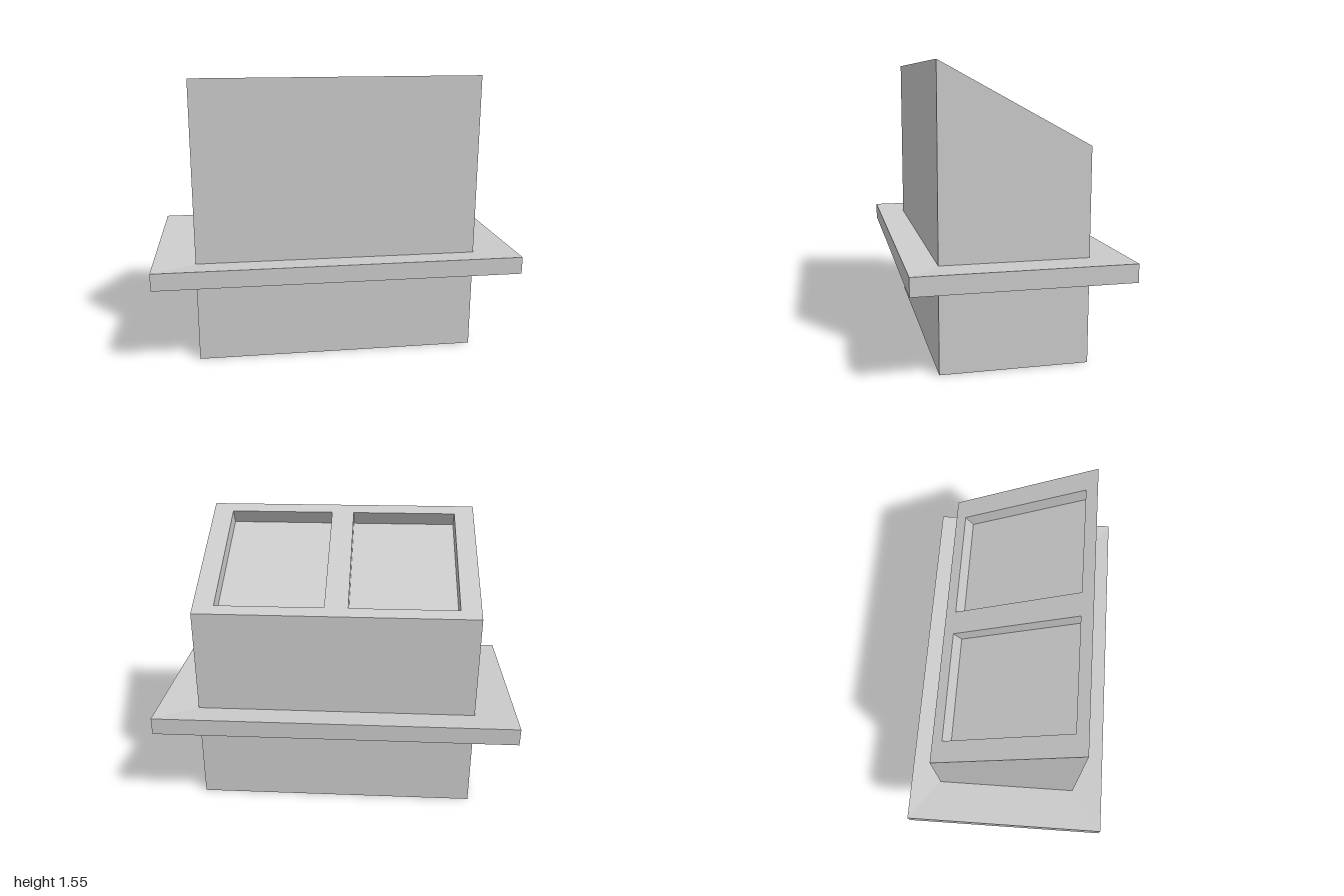
import * as THREE from 'three';

const grey = new THREE.MeshStandardMaterial({ color: 0xcccccc, side: THREE.DoubleSide });
grey.name = 'plain grey';

// Height of the slanted top at a given depth
const SLOPE = 0.42 / 0.78;
const topY = (z) => 1.34 + SLOPE * z;

// Four corners, counter-clockwise seen from above; height may depend on z
function rect(x0, x1, z0, z1, height) {
  return [[x0, z1], [x1, z1], [x1, z0], [x0, z0]]
    .map(([x, z]) => new THREE.Vector3(x, height(z), z));
}

// Flat-shaded faces from a list of quads
function quads(list) {
  const points = list.flatMap(([a, b, c, d]) => [a, b, c, a, c, d]);
  const geometry = new THREE.BufferGeometry().setFromPoints(points);
  geometry.computeVertexNormals();
  return geometry;
}

// Strip of four faces joining two corner loops
const band = (a, b) => a.map((p, i) => [p, a[(i + 1) % 4], b[(i + 1) % 4], b[i]]);

export function createModel() {
  const model = new THREE.Group();
  model.name = 'slantedHousing';
  const add = (name, geometry) => {
    const mesh = new THREE.Mesh(geometry, grey);
    mesh.name = name;
    model.add(mesh);
  };

  // Thin walls, open at the bottom
  const W = 0.775, D = 0.39;
  add('bodyWalls', quads(band(rect(-W, W, -D, D, () => 0), rect(-W, W, -D, D, topY))));

  // Flange: flat underside closing the body, top dipping slightly towards the walls
  const under = rect(-1, 1, -0.558, 0.558, () => 0.48);
  const edge = rect(-1, 1, -0.558, 0.558, () => 0.575);
  const inner = rect(-W, W, -D, D, () => 0.56);
  add('flange', quads([[...under].reverse(), ...band(under, edge), ...band(edge, inner)]));

  // Slanted deck with two openings
  const outline = (loop) => loop.map((p) => new THREE.Vector2(p.x, -p.z));
  const rims = [[-0.663, -0.066], [0.063, 0.66]].map(([a, b]) => rect(a, b, -0.335, 0.33, topY));
  const deckShape = new THREE.Shape(outline(rect(-W, W, -D, D, topY)));
  rims.forEach((rim) => deckShape.holes.push(new THREE.Path(outline(rim))));
  const deck = new THREE.ShapeGeometry(deckShape);
  const pos = deck.attributes.position;
  for (let i = 0; i < pos.count; i++) {
    const z = -pos.getY(i);
    pos.setXYZ(i, pos.getX(i), topY(z), z);
  }
  deck.computeVertexNormals();
  add('slantedDeck', deck);

  // Pockets sunk square to the deck
  const inward = new THREE.Vector3(0, -1, SLOPE).normalize().multiplyScalar(0.085);
  rims.forEach((rim, i) => {
    const floor = rim.map((p) => p.clone().add(inward));
    add(i ? 'leftPocket' : 'rightPocket', quads([floor, ...band(rim, floor)]));
  });

  return model;
}
